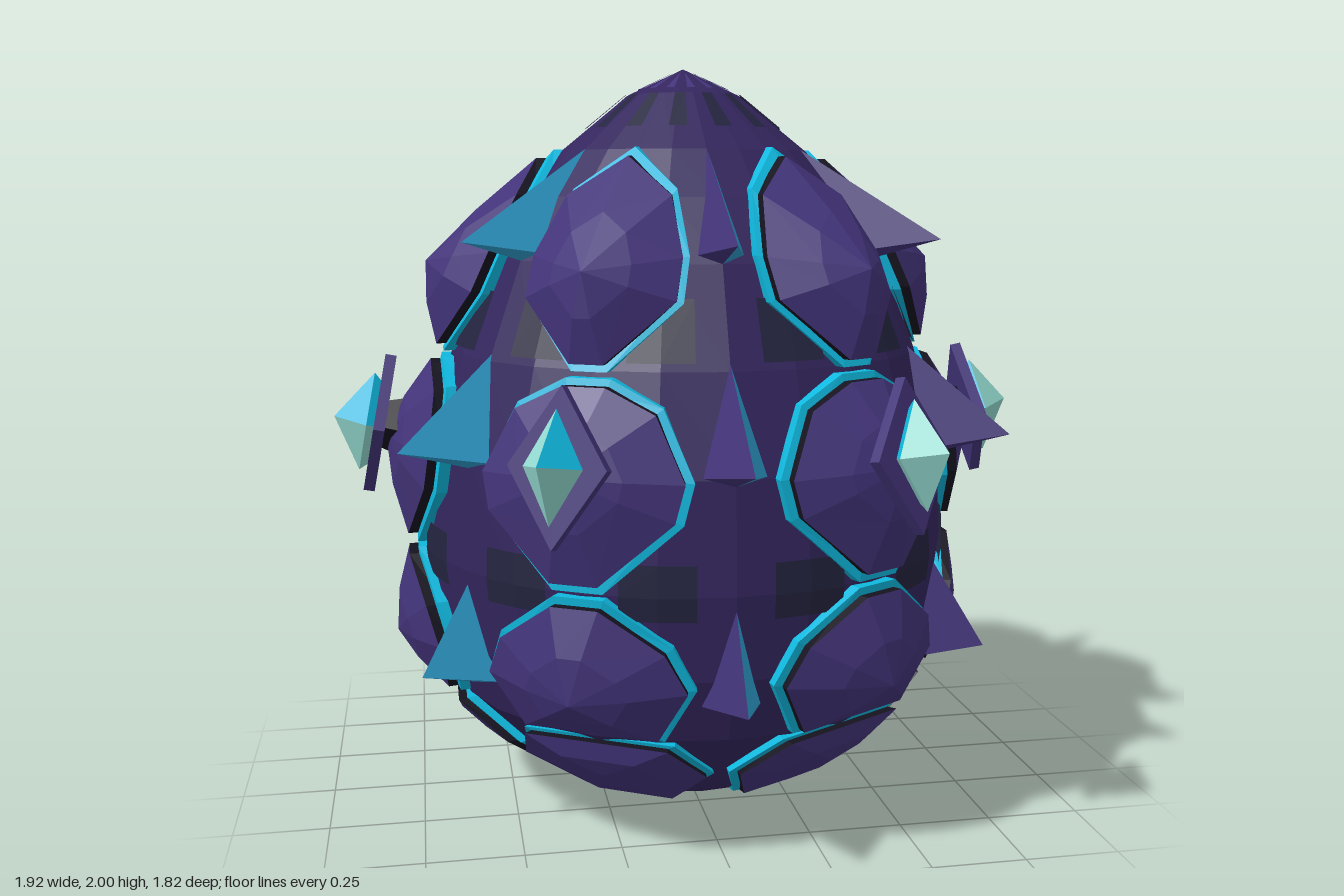
import * as THREE from 'three';

const mat = (name, hex) => {
  const m = new THREE.MeshStandardMaterial({ color: hex, side: THREE.DoubleSide, flatShading: true });
  m.name = name;
  return m;
};

// Egg profile as [radius, height]
const PROFILE = [[0, 0.004], [0.16, 0.004], [0.3, 0.05], [0.4, 0.1], [0.53, 0.21], [0.64, 0.33], [0.7, 0.5], [0.725, 0.72],
  [0.71, 1], [0.64, 1.25], [0.54, 1.5], [0.44, 1.66], [0.335, 1.78], [0.15, 1.93], [0, 2]];

function eggRadius(y) {
  for (let i = 2; i < PROFILE.length; i++) {
    const [r0, y0] = PROFILE[i - 1], [r1, y1] = PROFILE[i];
    if (y <= y1) return r0 + (r1 - r0) * Math.max(0, (y - y0) / (y1 - y0));
  }
  return 0;
}

// Point at an angle (degrees from the front), height and radius
function polar(deg, y, r) {
  const a = THREE.MathUtils.degToRad(deg);
  return new THREE.Vector3(r * Math.sin(a), y, r * Math.cos(a));
}
const onEgg = (deg, y, off) => polar(deg, y, eggRadius(y) + off);

// Flat-faced geometry from polygons, each split as a fan
function facets(polys) {
  const pts = [];
  for (const p of polys) for (let i = 1; i < p.length - 1; i++) pts.push(p[0], p[i], p[i + 1]);
  const g = new THREE.BufferGeometry().setFromPoints(pts);
  g.computeVertexNormals();
  return g;
}

// Quads joining two closed loops, outer loop first
const band = (a, b) => a.map((p, i) => {
  const j = (i + 1) % a.length;
  return [p, a[j], b[j], b[i]];
});

// Half outlines [degrees, height] from bottom to top, with the apex [height, radius]
const PLATES = [
  { half: [[17, 0.06], [28, 0.21], [18, 0.325]], apex: [0.21, 0.605] },
  { half: [[16, 0.34], [22.5, 0.49], [18, 0.6], [5, 0.715]], apex: [0.465, 0.81] },
  { half: [[5, 0.73], [20, 0.9], [22, 1.0], [16, 1.17], [5, 1.235]], apex: [1.02, 0.825] },
  { half: [[4, 1.25], [20, 1.41], [21.5, 1.52], [18, 1.68], [0, 1.785]], apex: [1.49, 0.705] },
];

// Spikes: top corner [radius, height], tip, and foot height
const SPIKES = [
  { top: [0.71, 0.7], tip: [0.86, 0.465], foot: 0.41 },
  { top: [0.63, 1.27], tip: [0.91, 1.045], foot: 0.985 },
  { top: [0.32, 1.79], tip: [0.715, 1.55], foot: 1.5 },
];

export function createModel() {
  const model = new THREE.Group();
  model.name = 'armouredEgg';
  const shell = mat('dark purple shell', 0x34265e);
  const plate = mat('purple plate', 0x43347a);
  const dark = mat('near black edge', 0x15131f);
  const slate = mat('dark slate', 0x242440);
  const cyan = mat('cyan glow', 0x0fb8de);
  const blue = mat('blue spike', 0x309fd0);
  const pale = mat('pale gem', 0x94dcd2);

  const add = (parent, name, geo, material) => {
    const m = new THREE.Mesh(geo, material);
    m.name = name;
    parent.add(m);
    return m;
  };

  // Inner shell
  const lathe = new THREE.LatheGeometry(PROFILE.map(([r, y]) => new THREE.Vector2(r, y)), 24);
  add(model, 'shell', lathe, shell);

  // Ring under the base
  const ring = add(model, 'baseRing', new THREE.RingGeometry(0.145, 0.157, 24), dark);
  ring.rotation.x = Math.PI / 2;
  ring.position.y = 0.001;

  // Radial streaks on the crown
  const streaks = [], tips = [];
  for (let i = 0; i < 14; i++) {
    const d = (i + 0.5) * 360 / 14;
    streaks.push([onEgg(d - 5, 1.84, 0.008), onEgg(d + 5, 1.84, 0.008), onEgg(d + 5, 1.93, 0.008), onEgg(d - 5, 1.93, 0.008)]);
    const e = i * 360 / 14;
    tips.push([onEgg(e - 5, 1.945, 0.006), onEgg(e + 5, 1.945, 0.006), onEgg(e, 1.99, 0.006)]);
  }
  add(model, 'crownStreaks', facets(streaks), slate);
  add(model, 'crownTips', facets(tips), plate);

  for (let k = 0; k < 6; k++) {
    // Column of overlapping plates
    const column = new THREE.Group();
    column.name = 'plateColumn';
    column.rotation.y = THREE.MathUtils.degToRad(30 + 60 * k);
    model.add(column);

    for (const { half, apex } of PLATES) {
      const outline = [...half, ...half.filter(p => p[0] > 0).reverse().map(([d, y]) => [-d, y])];
      const loop = (s, off) => outline.map(([d, y]) => onEgg(d * s, apex[0] + (y - apex[0]) * s, off));
      const peak = polar(0, apex[0], apex[1]);
      const rim = loop(0.92, 0.052);
      const mid = rim.map(p => {
        const q = p.clone().lerp(peak, 0.5);
        const s = 1 + 0.012 / Math.hypot(q.x, q.z);
        return q.set(q.x * s, q.y, q.z * s);
      });
      add(column, 'glowRim', facets([...band(loop(1, -0.03), loop(1, 0.026)), ...band(loop(1, 0.026), loop(0.86, 0.026))]), cyan);
      add(column, 'plateEdge', facets(band(loop(0.92, 0), rim)), dark);
      add(column, 'plate', facets([...band(rim, mid), ...mid.map((p, i) => [p, mid[(i + 1) % mid.length], peak])]), plate);
    }

    // Diamond mount and gem, leaning out towards the bottom
    const mount = new THREE.Group();
    mount.name = 'gemMount';
    mount.position.set(0, 1.05, 0.845);
    mount.rotation.x = -0.19;
    column.add(mount);
    const diamond = new THREE.Shape([[0, -0.19], [0.125, 0], [0, 0.19], [-0.125, 0]].map(p => new THREE.Vector2(...p)));
    const slab = new THREE.ExtrudeGeometry(diamond, { depth: 0.03, bevelEnabled: false });
    slab.translate(0, 0, -0.02);
    add(mount, 'mountPlate', slab, plate);
    const stem = add(mount, 'mountStem', new THREE.CylinderGeometry(0.06, 0.085, 0.08, 4), dark);
    stem.rotation.x = Math.PI / 2;
    stem.position.z = -0.04;
    const v = (x, y, z) => new THREE.Vector3(x, y, z);
    const [T, B, L, R, F] = [v(0, 0.135, 0.03), v(0, -0.135, 0.03), v(-0.075, 0, 0.03), v(0.075, 0, 0.03), v(0, 0, 0.118)];
    const [T0, B0, L0, R0] = [T, B, L, R].map(p => v(p.x * 0.85, p.y * 0.85, 0.008));
    add(mount, 'gemPale', facets([[T, L, F], [L, B, F], [B, R, F], [L0, B0, B, L], [B0, R0, R, B]]), pale);
    add(mount, 'gemCyan', facets([[R, T, F], [R0, T0, T, R], [T0, L0, L, T]]), cyan);

    // Column of two-tone spikes in the gap between plates
    const gap = new THREE.Group();
    gap.name = 'spikeColumn';
    gap.rotation.y = THREE.MathUtils.degToRad(60 * k);
    model.add(gap);
    for (const { top, tip, foot } of SPIKES) {
      const t = polar(0, top[1], top[0]);
      const p = polar(0, tip[1], tip[0]);
      const b = onEgg(0, foot, 0);
      const l = onEgg(-6.5, foot + 0.02, -0.01), r = onEgg(6.5, foot + 0.02, -0.01);
      add(gap, 'spikeBlueSide', facets([[r, t, p], [b, r, p]]), blue);
      add(gap, 'spikePurpleSide', facets([[t, l, p], [l, b, p]]), plate);
    }

    // Dark patches where neighbouring plates pinch
    const patches = [];
    for (const [y0, y1] of [[0.66, 0.72], [0.72, 0.8], [1.27, 1.42]])
      for (const d of [-22.5, -15, 7.5, 15])
        patches.push([onEgg(d, y0, 0.006), onEgg(d + 7.5, y0, 0.006), onEgg(d + 7.5, y1, 0.006), onEgg(d, y1, 0.006)]);
    add(gap, 'pinchPatches', facets(patches), slate);
  }
  return model;
}
